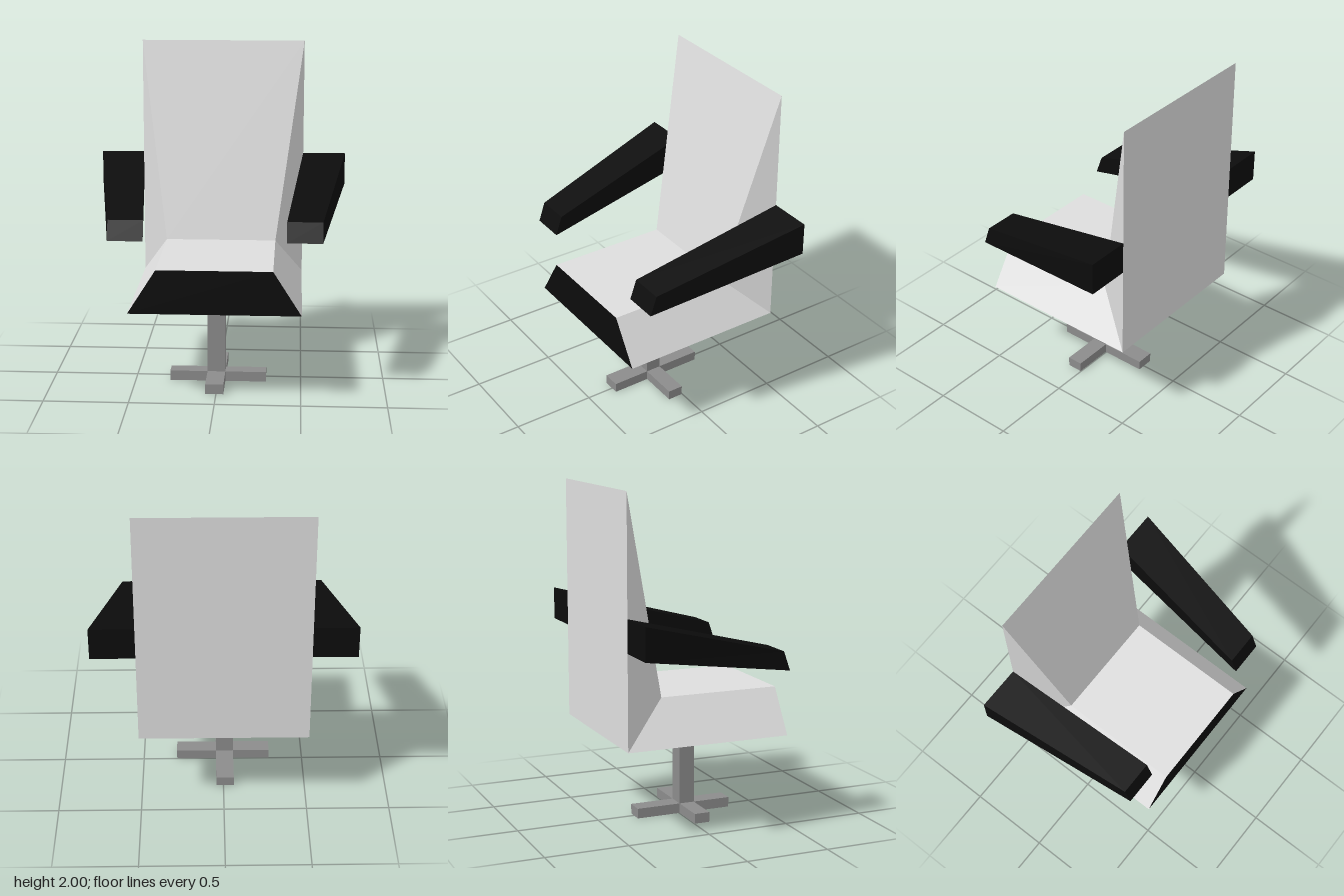
import * as THREE from 'three';

const upholstery = new THREE.MeshStandardMaterial({ color: 0xdedede });
upholstery.name = 'light grey upholstery';
const black = new THREE.MeshStandardMaterial({ color: 0x0c0c0c });
black.name = 'black trim';
const metal = new THREE.MeshStandardMaterial({ color: 0x8c8c8c });
metal.name = 'grey metal';

// Side profile of seat and backrest: [half width, y, z]
const profile = [
  [0.5, 0.54, 0.5],     // 0 front bottom
  [0.335, 0.8, 0.5],    // 1 front top
  [0.335, 0.8, -0.23],  // 2 seat meets backrest
  [0.5, 2, -0.5],       // 3 top of backrest
  [0.5, 0.54, -0.5],    // 4 rear bottom
];
const corner = (i, side) => [profile[i][0] * side, profile[i][1], profile[i][2]];

// Flat-shaded mesh from convex polygons
function facets(name, polygons, material) {
  const positions = [];
  for (const p of polygons) {
    for (let i = 1; i < p.length - 1; i++) positions.push(...p[0], ...p[i], ...p[i + 1]);
  }
  const geometry = new THREE.BufferGeometry();
  geometry.setAttribute('position', new THREE.Float32BufferAttribute(positions, 3));
  geometry.computeVertexNormals();
  const mesh = new THREE.Mesh(geometry, material);
  mesh.name = name;
  return mesh;
}

// Face spanning the chair's width between two profile points
const span = (i, j) => [corner(i, -1), corner(i, 1), corner(j, 1), corner(j, -1)];

// Tapered armrest: a box whose ends are moved to the rear and front sections
function armrest(name, side) {
  const geometry = new THREE.BoxGeometry(1, 1, 1);
  const pos = geometry.attributes.position;
  for (let i = 0; i < pos.count; i++) {
    const outer = pos.getX(i) * side > 0;
    const top = pos.getY(i) > 0;
    if (pos.getZ(i) > 0) {
      pos.setXYZ(i, side * (outer ? 0.615 : 0.41), top ? 1.07 : 0.955, top ? 0.41 : 0.45);
    } else {
      pos.setXYZ(i, side * (outer ? 0.76 : 0.5), top ? 1.3 : 1.105, -0.5);
    }
  }
  const flat = geometry.toNonIndexed();
  flat.computeVertexNormals();
  const mesh = new THREE.Mesh(flat, black);
  mesh.name = name;
  return mesh;
}

function bar(name, w, h, d, x, y, z) {
  const mesh = new THREE.Mesh(new THREE.BoxGeometry(w, h, d), metal);
  mesh.name = name;
  mesh.position.set(x, y, z);
  return mesh;
}

export function createModel() {
  const chair = new THREE.Group();
  chair.name = 'swivelChair';

  // Seat and backrest shell
  const shell = [span(1, 2), span(2, 3), span(3, 4), span(4, 0)];
  for (const side of [1, -1]) {
    for (const loop of [[0, 4, 2, 1], [4, 3, 2]]) {
      const polygon = loop.map((i) => corner(i, side));
      shell.push(side > 0 ? polygon : polygon.reverse());
    }
  }
  chair.add(facets('seatAndBackrest', shell, upholstery));
  chair.add(facets('seatFront', [span(0, 1)], black));

  // Armrests
  chair.add(armrest('leftArmrest', 1), armrest('rightArmrest', -1));

  // Post and crossed foot
  const cx = -0.01, cz = 0.05;
  chair.add(bar('post', 0.108, 0.48, 0.094, cx, 0.3, cz));
  chair.add(bar('footAcross', 0.58, 0.06, 0.094, 0, 0.03, cz));
  chair.add(bar('footFront', 0.108, 0.06, 0.233, cx, 0.03, 0.2135));
  chair.add(bar('footRear', 0.108, 0.06, 0.273, cx, 0.03, -0.1335));

  return chair;
}
